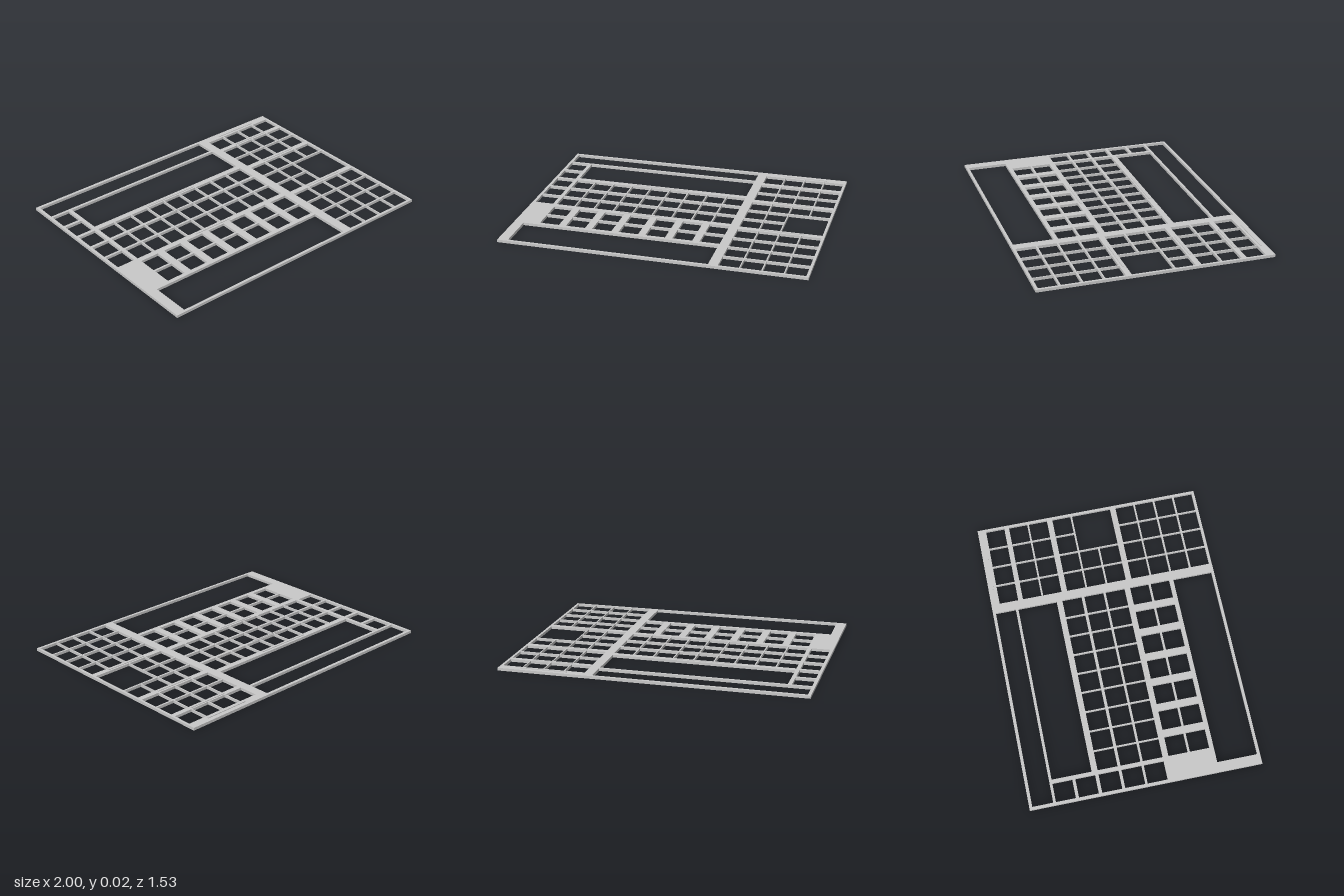
import * as THREE from 'three';

const HALF_DEPTH = 0.764;
const THICKNESS = 0.018;

// Counter-clockwise rectangle from x and z limits (shape y is -z)
function rect(PathType, [x0, x1], [z0, z1]) {
  const p = new PathType();
  p.moveTo(x0, -z1);
  p.lineTo(x1, -z1);
  p.lineTo(x1, -z0);
  p.lineTo(x0, -z0);
  p.closePath();
  return p;
}

// Split a span into n equal cells with a wall of the given gap between them
function cells(x0, x1, n, gap) {
  const w = (x1 - x0 - gap * (n - 1)) / n;
  return Array.from({ length: n }, (_, i) => {
    const a = x0 + i * (w + gap);
    return [a, a + w];
  });
}

export function createModel() {
  const model = new THREE.Group();
  model.name = 'keyOverlayFrame';
  const grey = new THREE.MeshStandardMaterial({ color: 0xc8c8c8 });
  grey.name = 'plain grey';

  const plate = rect(THREE.Shape, [-1, 1], [-HALF_DEPTH, HALF_DEPTH]);
  const cut = (xs, zs) => xs.forEach(x => zs.forEach(z => plate.holes.push(rect(THREE.Path, x, z))));

  // Large open windows on the left block
  cut([[-0.98, 0.375]], [[-0.744, -0.608]]);
  cut([[-0.83, 0.375]], [[-0.59, -0.327]]);
  cut([[-0.933, 0.375]], [[0.48, 0.746]]);

  // Left column and the nine-wide key grid
  const gridRows = [[-0.288, -0.156], [-0.137, -0.005], [0.01, 0.142]];
  cut([[-0.98, -0.855]], [[-0.59, -0.46], [-0.44, -0.31], ...gridRows]);
  cut(cells(-0.829, 0.377, 9, 0.009), gridRows);

  // Widely spaced lower keys
  cut(cells(-0.829, 0.377, 7, 0.049), [[0.18, 0.308], [0.322, 0.452]]);

  // Right keypad
  const pad = cells(0.438, 0.983, 4, 0.008);
  cut(pad, [[-0.707, -0.58], [-0.547, -0.42], [-0.408, -0.281], [-0.243, -0.116]]);
  cut(pad.slice(0, 2), [[-0.104, 0.024], [0.036, 0.165]]);
  cut([[pad[2][0], pad[3][1]]], [[-0.104, 0.165]]);
  cut(pad, [[0.203, 0.33], [0.341, 0.468], [0.48, 0.606], [0.618, 0.746]]);

  const geo = new THREE.ExtrudeGeometry(plate, { depth: THICKNESS, bevelEnabled: false });
  geo.rotateX(-Math.PI / 2);
  const frame = new THREE.Mesh(geo, grey);
  frame.name = 'frame';
  model.add(frame);

  // Low blank label strips on the wide bars: x start, x end, z
  const strips = [
    [-0.42, -0.03, -0.305], [-0.36, -0.09, -0.145], [-0.38, -0.09, 0.16],
    [0.55, 0.86, -0.73], [0.57, 0.84, -0.565], [0.57, 0.84, -0.262], [0.58, 0.87, 0.183],
  ];
  strips.forEach(([x0, x1, z], i) => {
    const strip = new THREE.Mesh(new THREE.BoxGeometry(x1 - x0, 0.004, 0.011), grey);
    strip.position.set((x0 + x1) / 2, THICKNESS + 0.002, z);
    strip.name = `labelStrip${i + 1}`;
    model.add(strip);
  });

  return model;
}
